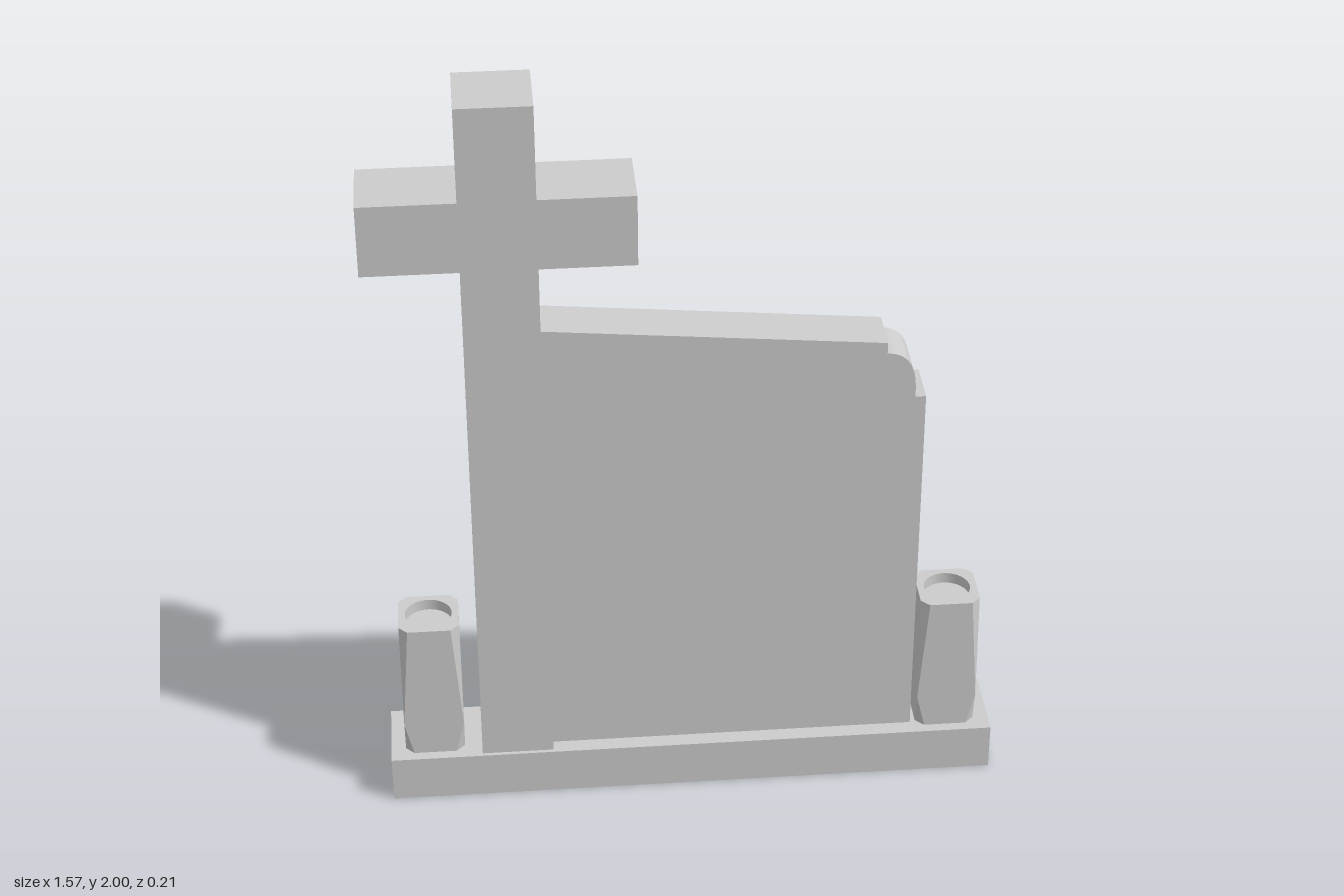
import * as THREE from 'three';

const material = new THREE.MeshStandardMaterial({ color: 0xcccccc });
const flatMaterial = new THREE.MeshStandardMaterial({ color: 0xcccccc, flatShading: true });
const innerMaterial = new THREE.MeshStandardMaterial({ color: 0xcccccc, side: THREE.BackSide });

function add(parent, name, geometry, mat = material) {
  const mesh = new THREE.Mesh(geometry, mat);
  mesh.name = name;
  parent.add(mesh);
  return mesh;
}

// Extrude a front outline to a depth centred on z = 0
function slab(shape, depth) {
  const g = new THREE.ExtrudeGeometry(shape, { depth, bevelEnabled: false, curveSegments: 16 });
  return g.translate(0, 0, -depth / 2);
}

// Corners of a square of half-width h, each cut back by c
function octagon(h, c) {
  const k = h - c;
  return [[h, -k], [h, k], [k, h], [-k, h], [-h, k], [-h, -k], [-k, -h], [k, -h]];
}

// Square vase: corners are cut at top and bottom and sharp at the belly
function createVase(name, x) {
  const vase = new THREE.Group();
  vase.name = name;
  const h = 0.077, cut = 0.022, bottom = 0.127, top = 0.518, radius = 0.06, depth = 0.03;

  const rings = [[bottom, cut], [0.22, 0], [top, cut]].map(([y, c]) =>
    octagon(h, c).map(([px, pz]) => new THREE.Vector3(px, y, pz)));
  const points = [];
  const triangle = (a, b, c) => {
    if (!a.equals(b) && !b.equals(c) && !a.equals(c)) points.push(a, b, c);
  };
  for (let r = 0; r < 2; r++) {
    for (let i = 0; i < 8; i++) {
      const j = (i + 1) % 8;
      const [a, b, c, d] = [rings[r][i], rings[r][j], rings[r + 1][j], rings[r + 1][i]];
      triangle(a, c, b);
      triangle(a, d, c);
    }
  }
  const sides = new THREE.BufferGeometry().setFromPoints(points);
  sides.computeVertexNormals();
  add(vase, 'vaseSides', sides, flatMaterial);

  // Rim with round opening
  const rim = new THREE.Shape(octagon(h, cut).map(p => new THREE.Vector2(...p)));
  rim.holes.push(new THREE.Path().absarc(0, 0, radius, 0, Math.PI * 2, true));
  add(vase, 'vaseRim', new THREE.ShapeGeometry(rim, 16).rotateX(-Math.PI / 2).translate(0, top, 0));

  // Well inside the opening
  add(vase, 'vaseWell', new THREE.CylinderGeometry(radius, radius, depth, 32, 1, true)
    .translate(0, top - depth / 2, 0), innerMaterial);
  add(vase, 'vaseWellFloor', new THREE.CircleGeometry(radius, 32)
    .rotateX(-Math.PI / 2).translate(0, top - depth, 0));

  // Underside
  const under = new THREE.Shape(octagon(h, cut).map(p => new THREE.Vector2(...p)));
  add(vase, 'vaseUnderside', new THREE.ShapeGeometry(under).rotateX(Math.PI / 2).translate(0, bottom, 0));

  vase.position.x = x;
  return vase;
}

export function createModel() {
  const group = new THREE.Group();
  group.name = 'gravestone';

  // Plinth
  add(group, 'base', new THREE.BoxGeometry(1.574, 0.127, 0.208).translate(0, 0.0635, 0));

  // Tall cross
  const cross = new THREE.Shape([
    [-0.55, 0.127], [-0.365, 0.127], [-0.365, 1.572], [-0.13, 1.572],
    [-0.13, 1.757], [-0.365, 1.757], [-0.365, 2], [-0.55, 2],
    [-0.55, 1.757], [-0.787, 1.757], [-0.787, 1.572], [-0.55, 1.572],
  ].map(p => new THREE.Vector2(...p)));
  add(group, 'cross', slab(cross, 0.188));

  // Headstone with sloping top and stepped, rounded shoulder
  const stone = new THREE.Shape();
  stone.moveTo(-0.365, 0.127);
  stone.lineTo(0.578, 0.127);
  stone.lineTo(0.578, 1.147);
  stone.lineTo(0.551, 1.147);
  stone.bezierCurveTo(0.555, 1.235, 0.53, 1.273, 0.478, 1.275);
  stone.lineTo(0.478, 1.305);
  stone.lineTo(-0.365, 1.382);
  stone.closePath();
  add(group, 'headstone', slab(stone, 0.124));

  // Vases at both ends
  group.add(createVase('leftVase', 0.669), createVase('rightVase', -0.672));

  return group;
}
